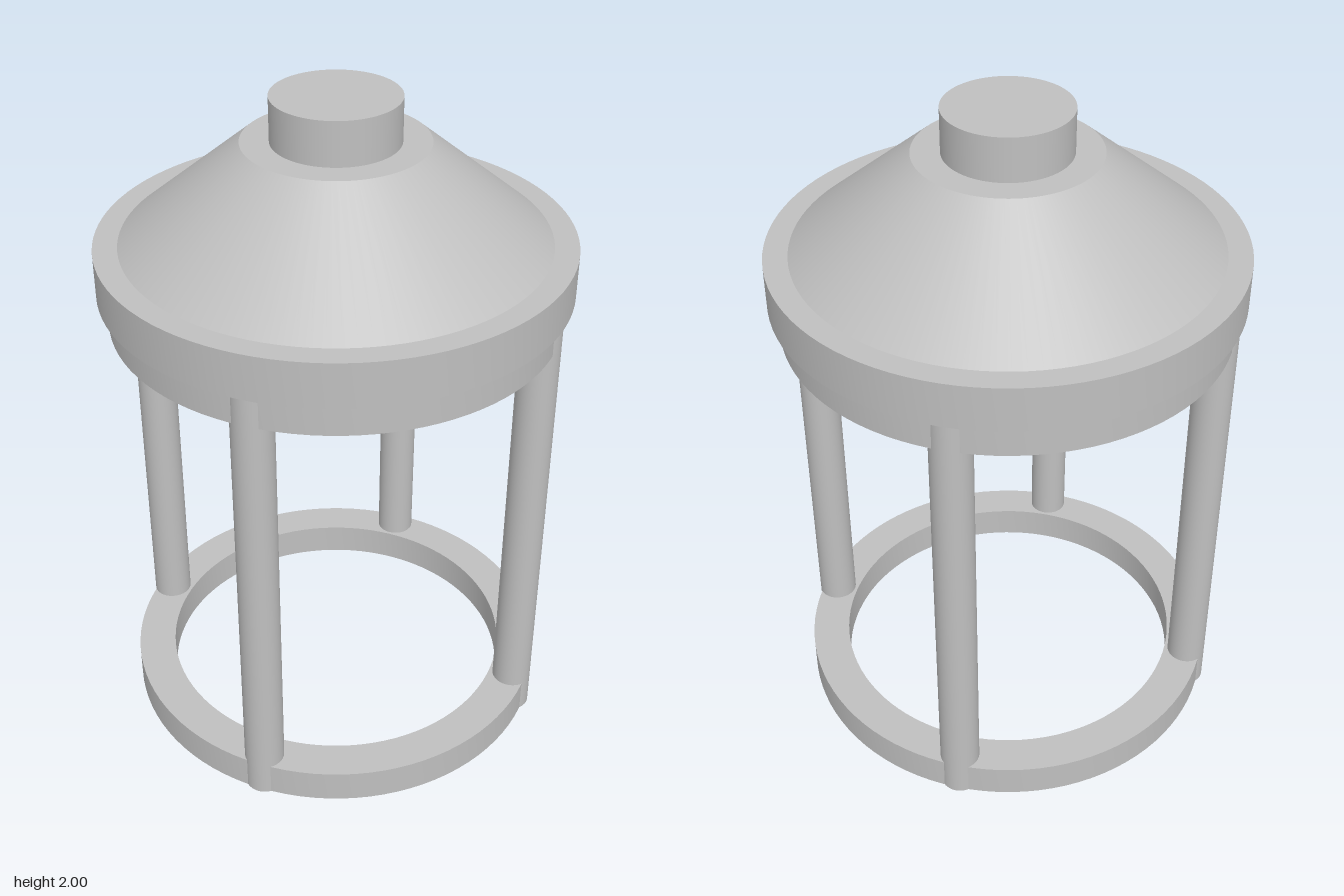
import * as THREE from 'three';
import { toCreasedNormals } from 'three/addons/utils/BufferGeometryUtils.js';

const SEGMENTS = 96;

export function createModel() {
  const model = new THREE.Group();
  model.name = 'roundPavilion';
  const grey = new THREE.MeshStandardMaterial({ color: 0xbfbfbf });
  grey.name = 'plain grey';

  const add = (name, geometry) => {
    const mesh = new THREE.Mesh(geometry, grey);
    mesh.name = name;
    model.add(mesh);
    return mesh;
  };

  // Revolve [radius, height] points, keeping the profile corners sharp
  const revolve = (name, points) => {
    const profile = points.map(([r, y]) => new THREE.Vector2(r, y));
    return add(name, toCreasedNormals(new THREE.LatheGeometry(profile, SEGMENTS), 0.4));
  };

  // Flat ring with a rectangular section
  const ring = (name, inner, outer, bottom, top) =>
    revolve(name, [[inner, bottom], [outer, bottom], [outer, top], [inner, top], [inner, bottom]]);

  ring('baseRing', 0.54, 0.657, 0, 0.105);
  ring('upperRing', 0.54, 0.657, 1.345, 1.445);

  // Four columns set into the rings
  const columnHeight = 1.445;
  const columnGeometry = new THREE.CylinderGeometry(0.06, 0.06, columnHeight, 40);
  for (let i = 0; i < 4; i++) {
    const angle = (i * Math.PI) / 2;
    const column = add('column' + (i + 1), columnGeometry);
    column.position.set(0.61 * Math.sin(angle), columnHeight / 2, 0.61 * Math.cos(angle));
  }

  // Roof: eave band, sloping cone and flat crown outside, hollow cone inside
  revolve('roof', [
    [0, 1.735], [0.14, 1.735], [0.49, 1.445],
    [0.685, 1.445], [0.685, 1.58], [0.615, 1.58],
    [0.265, 1.87], [0, 1.87],
  ]);

  // Round cap on the crown
  const cap = add('roofCap', new THREE.CylinderGeometry(0.183, 0.183, 0.13, SEGMENTS));
  cap.position.y = 1.935;

  return model;
}
